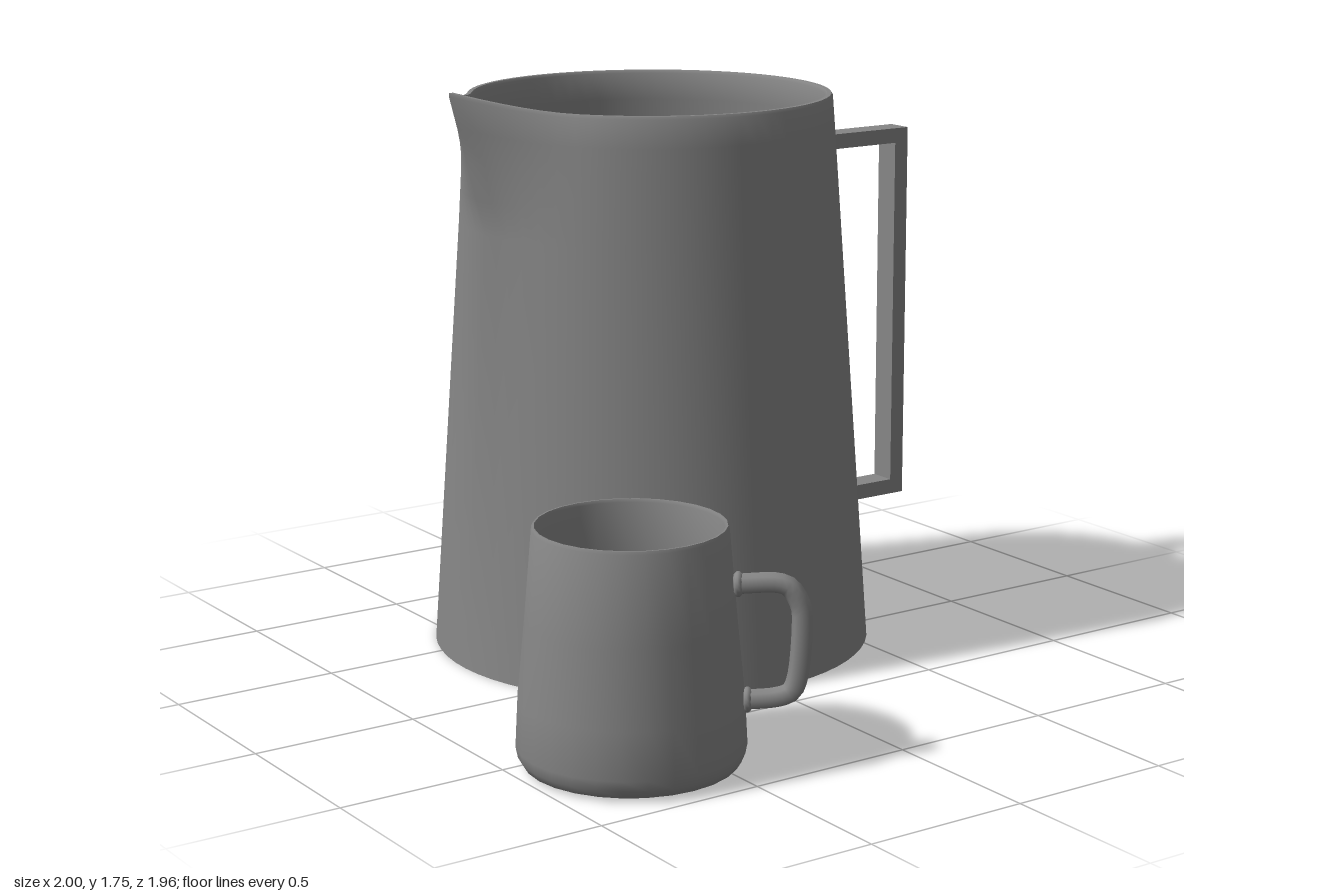
import * as THREE from 'three';
import { toCreasedNormals } from 'three/addons/utils/BufferGeometryUtils.js';

const material = new THREE.MeshStandardMaterial({ color: 0x868686, side: THREE.DoubleSide });
const v2 = ([x, y]) => new THREE.Vector2(x, y);

function addMesh(parent, name, geometry) {
  const mesh = new THREE.Mesh(geometry, material);
  mesh.name = name;
  parent.add(mesh);
  return mesh;
}

// Pulls the rim of the jug out and up into a pointed lip towards -x
function pullSpout(geometry) {
  const pos = geometry.attributes.position;
  const startY = 1.32, rimY = 1.7, spread = THREE.MathUtils.degToRad(34);
  for (let i = 0; i < pos.count; i++) {
    const x = pos.getX(i), y = pos.getY(i), z = pos.getZ(i);
    const r = Math.hypot(x, z);
    const side = Math.max(0, 1 - Math.abs(Math.atan2(z, -x)) / spread);
    if (y <= startY || side === 0) continue;
    const pull = side * side * (y - startY) / (rimY - startY);
    const scale = (r + 0.145 * pull) / r;
    pos.setXYZ(i, x * scale, y + 0.047 * pull, z * scale);
  }
  return geometry;
}

function createJug() {
  const jug = new THREE.Group();
  jug.name = 'jug';

  // Tapered wall, rounded rim, inner wall and floor in one profile
  const outerR = (y) => 0.677 - 0.122 * y / 1.7;
  const levels = [1.32, 1.42, 1.52, 1.61];
  const profile = [
    [0, 0], [0.677, 0],
    ...levels.map((y) => [outerR(y), y]),
    [0.555, 1.694], [0.55, 1.703], [0.537, 1.703], [0.531, 1.694],
    ...levels.slice().reverse().map((y) => [outerR(y) - 0.025, y]),
    [0.65, 0.02], [0, 0.02],
  ];
  const body = pullSpout(new THREE.LatheGeometry(profile.map(v2), 64));
  addMesh(jug, 'jugBody', toCreasedNormals(body, 0.8));

  // Square bracket handle, its ends set into the wall
  const outline = new THREE.Shape([
    [0.558, 1.475], [0.918, 1.475], [0.918, 0.36], [0.638, 0.36],
    [0.638, 0.312], [0.968, 0.312], [0.968, 1.522], [0.558, 1.522],
  ].map(v2));
  const handle = new THREE.ExtrudeGeometry(outline, { depth: 0.084, bevelEnabled: false });
  addMesh(jug, 'jugHandle', handle.translate(0, 0, -0.042));

  jug.position.set(0.032, 0, -0.307);
  return jug;
}

function createMug() {
  const mug = new THREE.Group();
  mug.name = 'mug';

  // Mug wall with rounded foot, rim and hollow inside
  const profile = [
    [0, 0], [0.27, 0], [0.3, 0.012], [0.314, 0.035], [0.32, 0.065],
    [0.313, 0.2], [0.292, 0.42], [0.27, 0.675], [0.266, 0.684],
    [0.261, 0.684], [0.257, 0.675], [0.278, 0.42], [0.298, 0.2],
    [0.304, 0.07], [0.29, 0.035], [0.27, 0.02], [0, 0.02],
  ];
  const body = new THREE.LatheGeometry(profile.map(v2), 28);
  addMesh(mug, 'mugBody', toCreasedNormals(body, 0.7));

  // Bent tube handle with a flattened knob at each end
  const path = new THREE.CatmullRomCurve3([
    [0.28, 0.52], [0.405, 0.525], [0.435, 0.512], [0.464, 0.46], [0.468, 0.42],
    [0.454, 0.25], [0.437, 0.215], [0.4, 0.2], [0.306, 0.19],
  ].map(([x, y]) => new THREE.Vector3(x, y, 0)), false, 'centripetal');
  addMesh(mug, 'mugHandle', new THREE.TubeGeometry(path, 32, 0.029, 8));
  for (const [x, y] of [[0.293, 0.52], [0.319, 0.191]]) {
    const knob = addMesh(mug, 'handleKnob', new THREE.SphereGeometry(0.036, 12, 8));
    knob.scale.x = 0.5;
    knob.position.set(x, y, 0);
  }

  mug.rotation.y = THREE.MathUtils.degToRad(-38);
  mug.position.set(-0.68, 0, 0.657);
  return mug;
}

export function createModel() {
  const model = new THREE.Group();
  model.name = 'jugAndMug';
  model.add(createJug(), createMug());
  return model;
}
